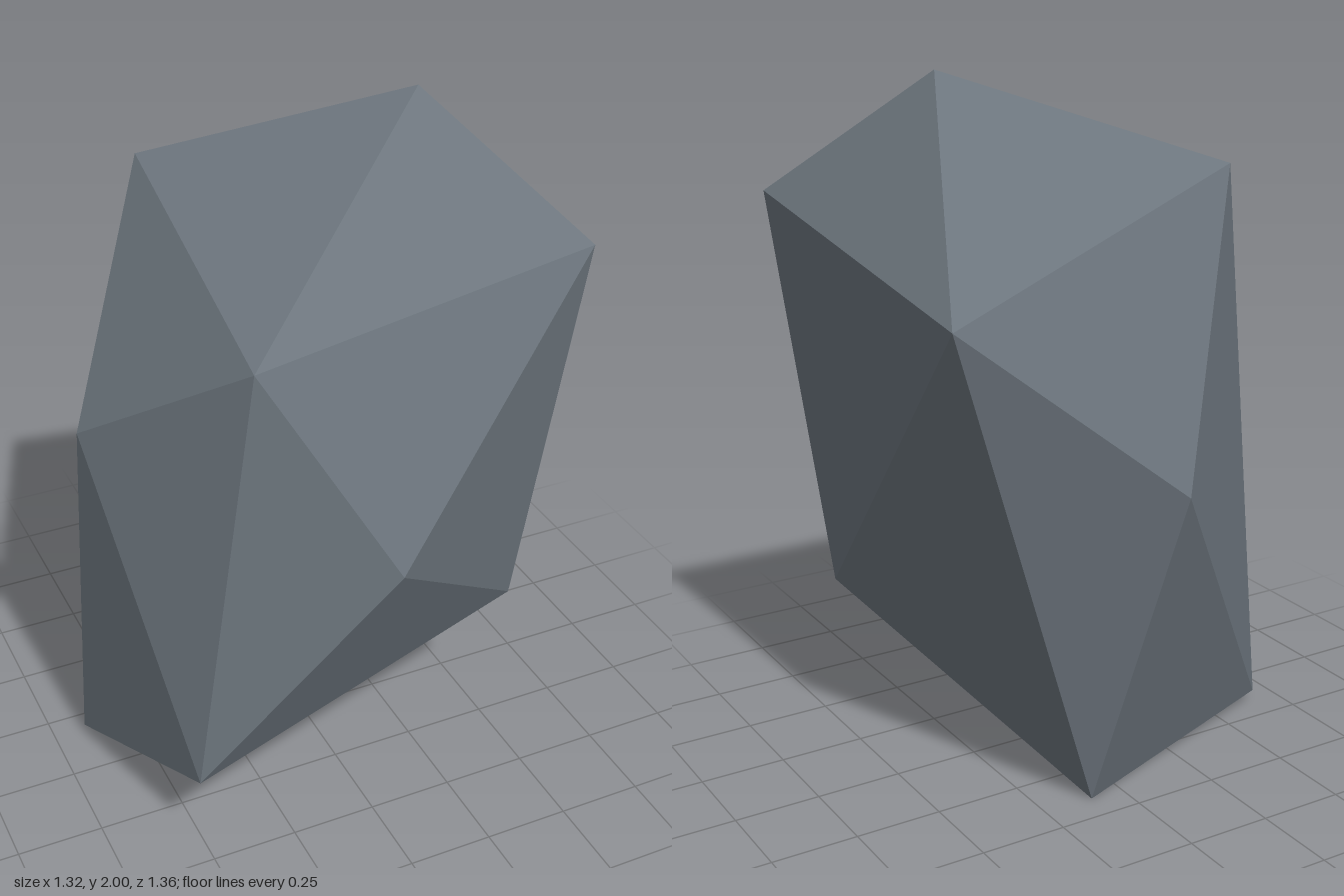
import * as THREE from 'three';
import { ConvexGeometry } from 'three/addons/geometries/ConvexGeometry.js';

export function createModel() {
  const model = new THREE.Group();
  model.name = 'rock';

  const slateGrey = new THREE.MeshStandardMaterial({ color: 0x6c757d, flatShading: true });
  slateGrey.name = 'slateGrey';

  // Corners of the boulder, from the peak down to the foot
  const corners = [
    [0.34, 2.0, 0],
    [-0.31, 1.76, -0.42],
    [0.66, 1.65, 0.41],
    [-0.35, 1.54, 0.49],
    [0.59, 1.45, -0.54],
    [-0.66, 1.18, 0],
    [-0.02, 0.96, 0.68],
    [-0.02, 0.96, -0.68],
    [0.53, 0.5, 0.32],
    [-0.53, 0.29, 0.49],
    [-0.66, 0.035, -0.16],
    [0.1, 0, -0.41],
  ].map((p) => new THREE.Vector3(...p));

  // Faceted hull around the corners
  const boulder = new THREE.Mesh(new ConvexGeometry(corners), slateGrey);
  boulder.name = 'boulder';
  model.add(boulder);

  return model;
}
